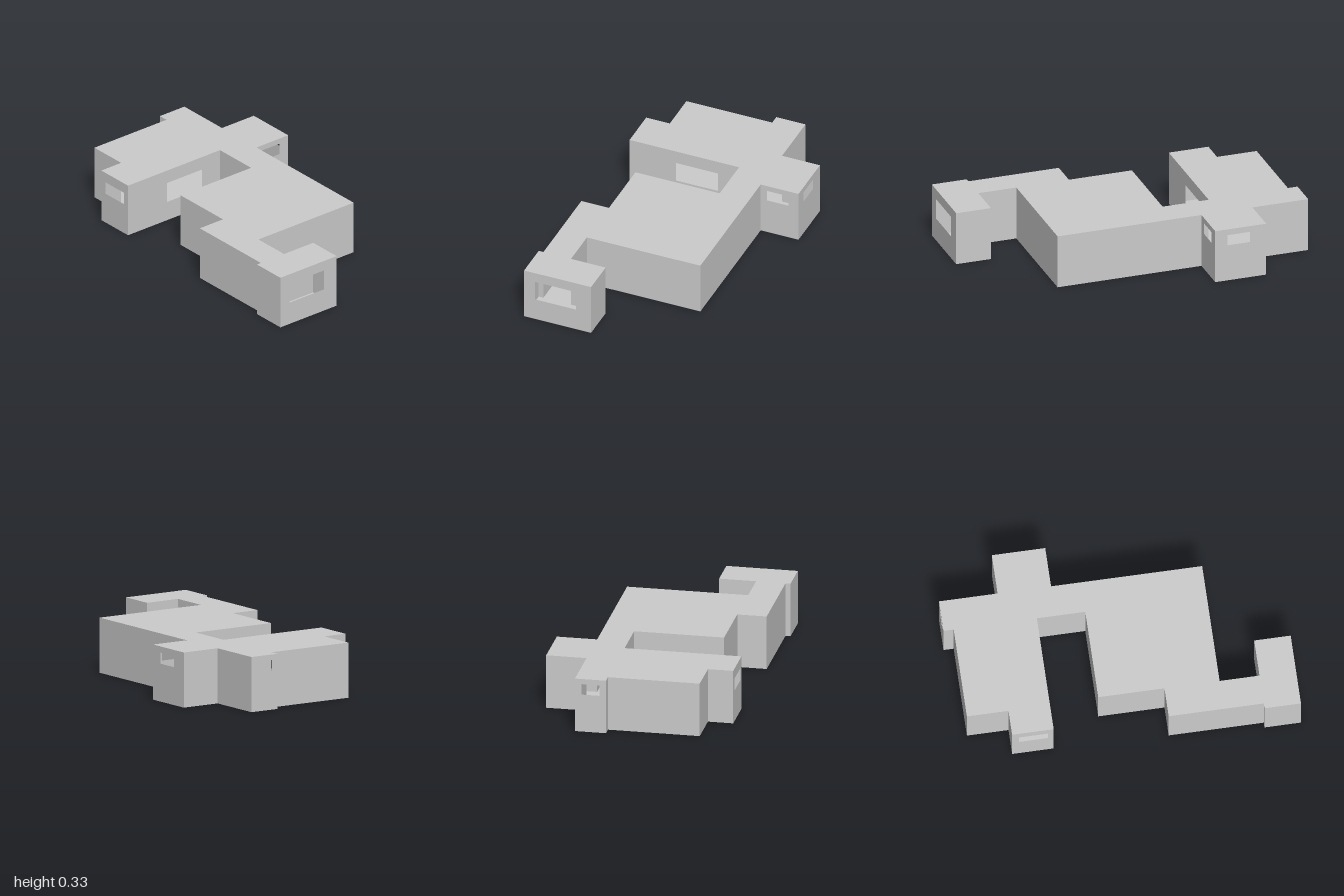
import * as THREE from 'three';

const HEIGHT = 0.327;

// Floor plan outline as [x, z]; each wall runs from one corner to the next
const PLAN = [
  [-1, -0.345], [-1, -0.16], [-0.94, -0.16], [-0.94, 0.385],
  [-0.695, 0.385], [-0.695, 0.535], [-0.45, 0.535], [-0.45, -0.16],
  [-0.165, -0.16], [-0.165, 0.375], [0.225, 0.375], [0.225, 0.55],
  [0.785, 0.55], [0.785, 0.58], [1, 0.58], [1, 0.155],
  [0.785, 0.155], [0.785, 0.375], [0.55, 0.375], [0.55, -0.345],
  [-0.34, -0.345], [-0.34, -0.585], [-0.655, -0.585], [-0.655, -0.345],
];

// Window openings by wall index: start and end along the wall's axis, sill, head
const WINDOWS = {
  0: [-0.305, -0.2, 0.23, 0.295],
  5: [-0.655, -0.485, 0.19, 0.265],
  6: [0.24, -0.025, 0.12, 0.245],
  14: [0.51, 0.25, 0.14, 0.265],
  20: [-0.385, -0.52, 0.225, 0.293],
  21: [-0.415, -0.555, 0.225, 0.29],
};

const rectangle = (u0, u1, v0, v1) => [[u0, v0], [u1, v0], [u1, v1], [u0, v1]]
  .map(([u, v]) => new THREE.Vector2(u, v));

// Thin wall panel, facing outward, with an optional window opening
function wallGeometry(index) {
  const [x0, z0] = PLAN[index];
  const [x1, z1] = PLAN[(index + 1) % PLAN.length];
  const along = new THREE.Vector3(x1 - x0, 0, z1 - z0);
  const length = along.length();
  along.normalize();
  const shape = new THREE.Shape(rectangle(0, length, 0, HEIGHT));
  if (WINDOWS[index]) {
    const [a, b, sill, head] = WINDOWS[index];
    const start = Math.abs(along.x) > 0.5 ? x0 : z0;
    shape.holes.push(new THREE.Path(
      rectangle(Math.abs(a - start), Math.abs(b - start), sill, head)));
  }
  const up = new THREE.Vector3(0, 1, 0);
  const outward = along.clone().cross(up);
  const place = new THREE.Matrix4().makeBasis(along, up, outward).setPosition(x0, 0, z0);
  return new THREE.ShapeGeometry(shape).applyMatrix4(place);
}

// Horizontal slab in the shape of the plan; side is 1 for facing up, -1 for down
function slabGeometry(side, y) {
  const shape = new THREE.Shape(PLAN.map(([x, z]) => new THREE.Vector2(x, -side * z)));
  return new THREE.ShapeGeometry(shape).rotateX(-side * Math.PI / 2).translate(0, y, 0);
}

export function createModel() {
  const model = new THREE.Group();
  model.name = 'building';
  const material = new THREE.MeshStandardMaterial({ color: 0xcccccc, side: THREE.DoubleSide });
  const add = (parent, name, geometry) => {
    const mesh = new THREE.Mesh(geometry, material);
    mesh.name = name;
    parent.add(mesh);
  };

  add(model, 'floor', slabGeometry(-1, 0));
  add(model, 'roof', slabGeometry(1, HEIGHT));

  // Outer walls
  const walls = new THREE.Group();
  walls.name = 'walls';
  PLAN.forEach((_, i) => add(walls, WINDOWS[i] ? 'windowWall' : 'wall', wallGeometry(i)));
  model.add(walls);
  return model;
}
